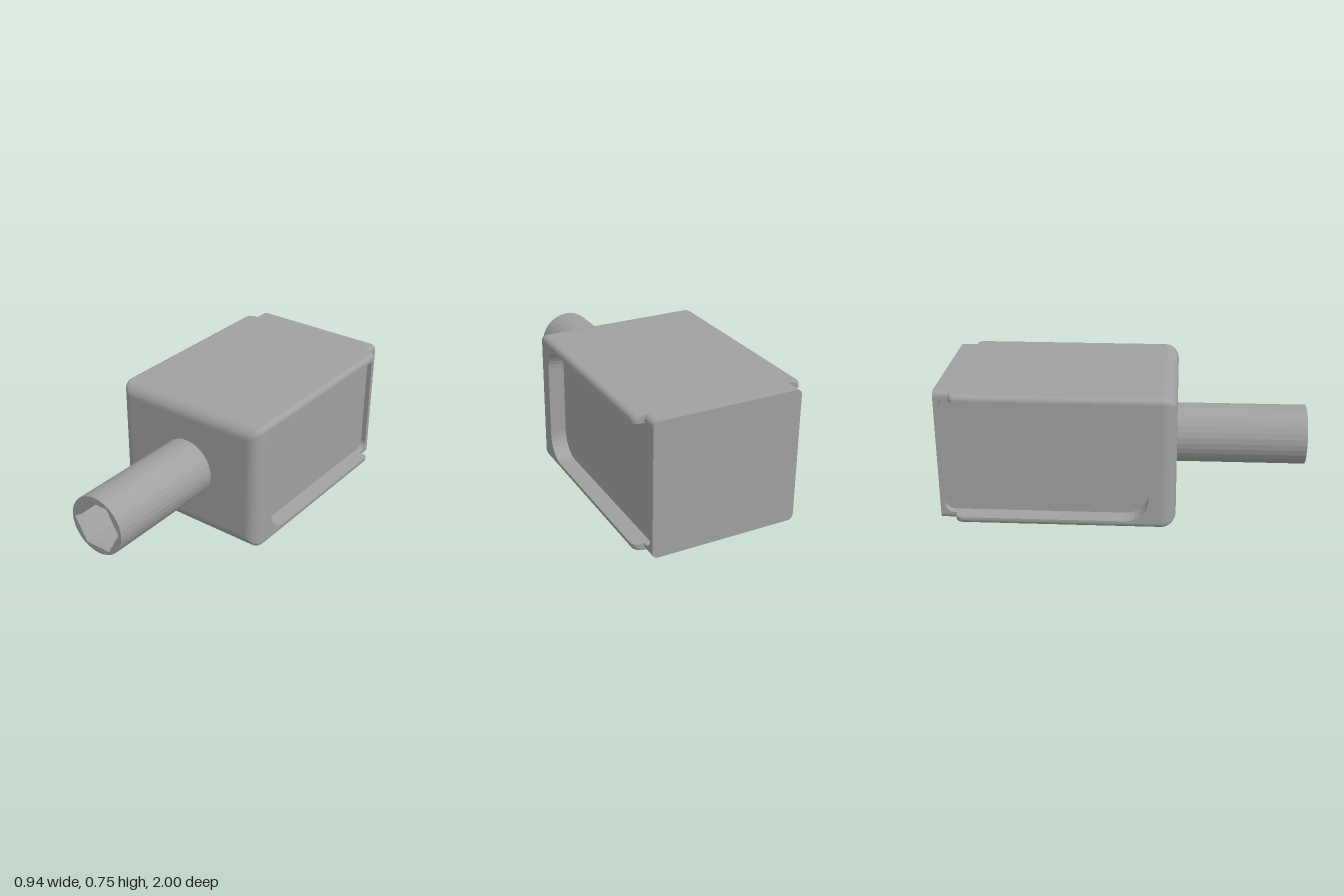
import * as THREE from 'three';

const MID = 0.3725;      // height of the centre line
const FLOOR = 0.38;      // half width between the recess floors
const STEPS = 6;

// Cross-section of the housing: rounded rectangle with a notch in each side.
function section({ z, w = 0.47, inset = 0, h, open }) {
  const W = w - inset, H = MID - inset;
  const r = Math.max(0.03 - inset * 0.4, 0.004);
  const x = open ? FLOOR : W, hi = open ? h - 0.006 : h;
  const pts = [];
  const add = (px, py) => pts.push([px, MID + py, z]);
  const corner = (sx, sy, start) => {
    for (let i = 0; i <= STEPS; i++) {
      const a = start + (i / STEPS) * Math.PI / 2;
      add(sx * (W - r) + r * Math.cos(a), sy * (H - r) + r * Math.sin(a));
    }
  };
  add(W, -h); add(x, -hi); add(x, hi); add(W, h);
  corner(1, 1, 0);
  corner(-1, 1, Math.PI / 2);
  add(-W, h); add(-x, hi); add(-x, -hi); add(-W, -h);
  corner(-1, -1, Math.PI);
  corner(1, -1, Math.PI * 1.5);
  return pts;
}

// Skin consecutive sections, front to back, and cap both ends.
function loft(rings) {
  const pos = [];
  const tri = (a, b, c) => {
    const [A, B, C] = [a, b, c].map((p) => new THREE.Vector3(...p));
    if (B.sub(A).cross(C.sub(A)).length() > 1e-9) pos.push(...a, ...b, ...c);
  };
  const n = rings[0].length, last = rings.length - 1;
  for (let j = 0; j < n; j++) {
    const k = (j + 1) % n;
    for (let i = 0; i < last; i++) {
      const p = rings[i], q = rings[i + 1];
      tri(p[j], q[j], p[k]);
      tri(p[k], q[j], q[k]);
    }
    tri([0, MID, rings[0][0][2]], rings[0][j], rings[0][k]);
    tri([0, MID, rings[last][0][2]], rings[last][k], rings[last][j]);
  }
  const g = new THREE.BufferGeometry();
  g.setAttribute('position', new THREE.Float32BufferAttribute(pos, 3));
  g.computeVertexNormals();
  return g;
}

function housingGeometry() {
  const s = [];
  const arc = (fn) => { for (let i = 0; i <= 8; i++) fn((i / 8) * Math.PI / 2); };
  // rounded front edge
  arc((a) => s.push({ z: 0.205 + 0.08 * Math.cos(a), inset: 0.07 * (1 - Math.sin(a)), h: 0.2025 }));
  // front wall of the side recesses and their large corners
  s.push({ z: 0.14, h: 0.2025 });
  arc((a) => s.push({ z: 0.01 + 0.13 * Math.cos(a), h: 0.2025 + 0.13 * Math.sin(a), open: true }));
  // rails with rounded rear tips, then the narrower rear
  arc((a) => s.push({ z: -0.875 - 0.035 * Math.sin(a), w: 0.435 + 0.035 * Math.cos(a), h: 0.3325, open: true }));
  s.push({ z: -0.91, w: 0.41, h: 0.3325, open: true });
  // small rear corners of the recesses, then the closed back
  arc((a) => s.push({ z: -0.925 - 0.05 * Math.sin(a), w: 0.41, h: 0.2825 + 0.05 * Math.cos(a), open: true }));
  s.push({ z: -0.975, w: 0.41, h: 0.2825 }, { z: -1, w: 0.41, h: 0.2825 });
  return loft(s.map(section));
}

export function createModel() {
  const group = new THREE.Group();
  const color = 0xa0a0a0;
  const grey = new THREE.MeshStandardMaterial({ color, flatShading: true });
  const inner = new THREE.MeshStandardMaterial({ color, flatShading: true, side: THREE.DoubleSide });

  const add = (name, geometry, material, z = 0, y = MID) => {
    const mesh = new THREE.Mesh(geometry, material);
    mesh.name = name;
    mesh.position.set(0, y, z);
    group.add(mesh);
  };

  add('housing', housingGeometry(), grey, 0, 0);

  // Round shaft with a hexagonal socket in its end
  const R = 0.166, HEX = 0.15, BORE = 0.135, DEPTH = 0.5, CHAMFER = 0.03;
  add('shaft', new THREE.CylinderGeometry(R, R, 0.73, 32, 1, true).rotateX(Math.PI / 2), grey, 0.635);

  const rim = new THREE.Shape().absarc(0, 0, R, 0, Math.PI * 2);
  const hole = new THREE.Path();
  for (let i = 0; i < 6; i++) {
    const a = (i * Math.PI) / 3;
    hole[i ? 'lineTo' : 'moveTo'](HEX * Math.cos(a), HEX * Math.sin(a));
  }
  hole.closePath();
  rim.holes.push(hole);
  add('shaftEnd', new THREE.ShapeGeometry(rim, 16), grey, 1);

  const hex = (front, back, length) =>
    new THREE.CylinderGeometry(front, back, length, 6, 1, true, Math.PI / 2).rotateX(Math.PI / 2);
  add('socketChamfer', hex(HEX, BORE, CHAMFER), inner, 1 - CHAMFER / 2);
  add('socketWall', hex(BORE, BORE, DEPTH - CHAMFER), inner, 1 - (CHAMFER + DEPTH) / 2);
  add('socketFloor', new THREE.CircleGeometry(BORE, 6), grey, 1 - DEPTH);

  return group;
}
